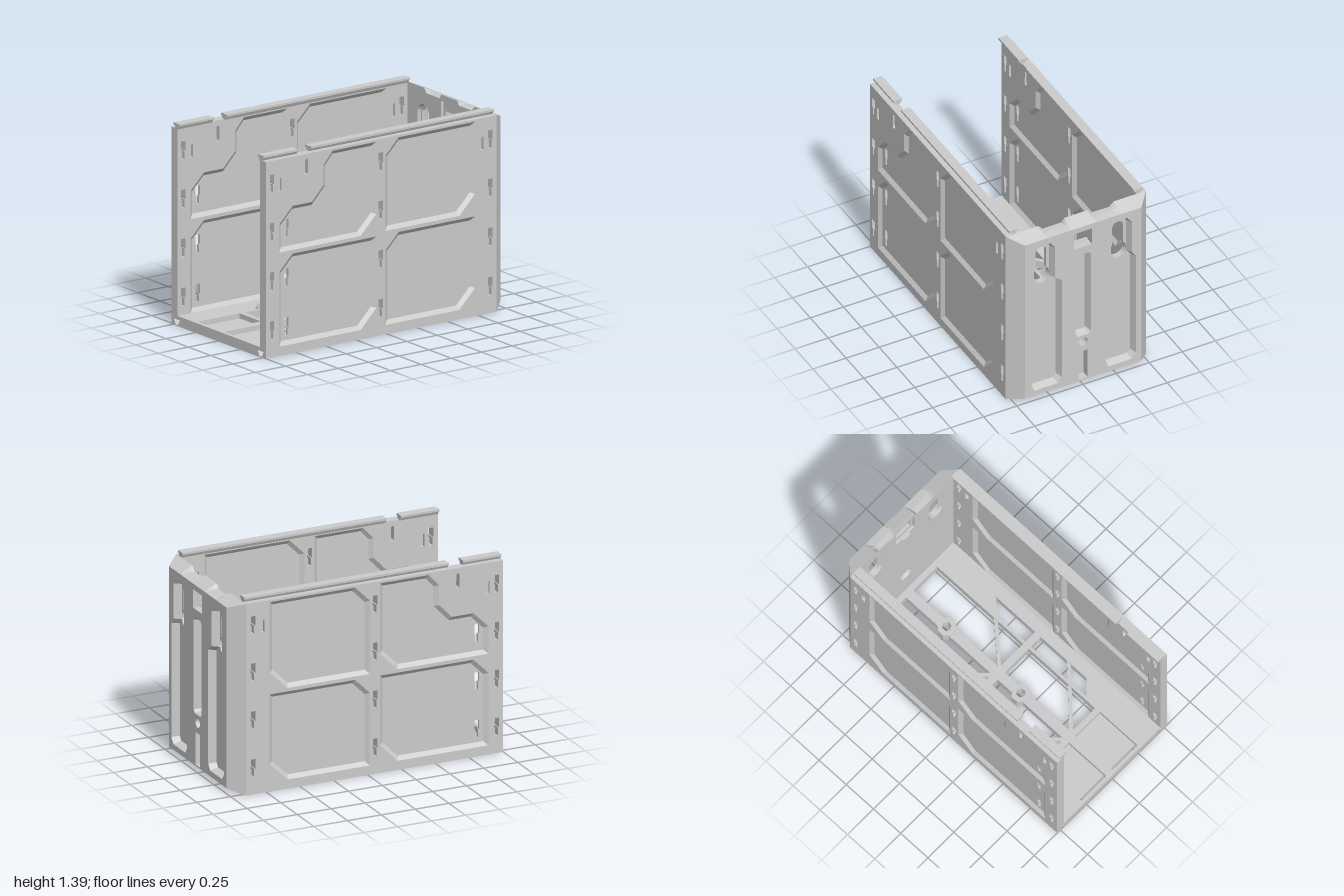
import * as THREE from 'three';

const mat = new THREE.MeshStandardMaterial({ color: 0xcccccc, flatShading: true, side: THREE.DoubleSide });
const rect = (x0, x1, y0, y1) => [[x0, y0], [x1, y0], [x1, y1], [x0, y1]];
const mirror = pts => pts.map(([x, y]) => [-x, y]).reverse();
const ngon = (n, r, cx, cy, a0 = 0) => Array.from({ length: n }, (_, i) => {
  const a = a0 + i / n * Math.PI * 2;
  return [cx + r * Math.cos(a), cy + r * Math.sin(a)];
});

// flat plate with holes, from depth w0 to w1
function plate(outline, holes, w0, w1) {
  const v = pts => pts.map(([x, y]) => new THREE.Vector2(x, y));
  const s = new THREE.Shape(v(outline));
  s.holes = holes.map(h => new THREE.Path(v(h)));
  return new THREE.ExtrudeGeometry(s, { depth: w1 - w0, bevelEnabled: false }).translate(0, 0, w0);
}

// sloped band joining two outlines at different depths
function band(a, b, wa, wb) {
  const p = [];
  a.forEach((_, i) => {
    const j = (i + 1) % a.length;
    const A = [...a[i], wa], B = [...a[j], wa], C = [...b[j], wb], D = [...b[i], wb];
    p.push(...A, ...B, ...C, ...A, ...C, ...D);
  });
  const g = new THREE.BufferGeometry();
  g.setAttribute('position', new THREE.Float32BufferAttribute(p, 3));
  g.computeVertexNormals();
  return g;
}

// counter-clockwise outline moved inwards by d
function inset(pts, d) {
  const n = pts.length;
  return pts.map((p, i) => {
    const dir = (a, b) => new THREE.Vector2(b[0] - a[0], b[1] - a[1]).normalize();
    const e = dir(pts[(i + n - 1) % n], p), f = dir(p, pts[(i + 1) % n]);
    const k = d / (1 + e.dot(f));
    return [p[0] - (e.y + f.y) * k, p[1] + (e.x + f.x) * k];
  });
}

// keyhole outline: slot of half-width r above a round hole
function keyhole(cx, r) {
  const R = 0.065, a0 = Math.acos(r / R), pts = [];
  for (let i = 0; i <= 10; i++) {
    const a = Math.PI * i / 10;
    pts.push([cx + r * Math.cos(a), 1.18 + r * Math.sin(a)]);
  }
  for (let i = 0; i <= 14; i++) {
    const a = Math.PI - a0 + (Math.PI + 2 * a0) * i / 14;
    pts.push([cx + R * Math.cos(a), 0.985 + R * Math.sin(a)]);
  }
  return pts;
}

export function createModel() {
  const model = new THREE.Group();
  const add = (name, geo, parent = model) => {
    const m = new THREE.Mesh(geo, mat);
    m.name = name;
    parent.add(m);
    return m;
  };

  // side walls: thin core between two outer skins with bevelled panel recesses
  const panel = (z0, z1, y0, y1) => [[z1 + 0.13, y0], [z0, y0], [z0, y1 - 0.11],
    [z0 - 0.11, y1], [z1, y1], [z1, y0 + 0.13]];
  const panels = [
    panel(0.89, 0.09, 0.065, 0.69), panel(0.015, -0.725, 0.065, 0.69), panel(0.015, -0.725, 0.715, 1.345),
    [[0.22, 0.715], [0.89, 0.715], [0.89, 0.91], [0.78, 1.02], [0.62, 1.02], [0.525, 1.12],
      [0.525, 1.26], [0.45, 1.345], [0.09, 1.345], [0.09, 0.845]]
  ];
  const tee = (z, top) => [[z - 0.01, top - 0.125], [z + 0.01, top - 0.125], [z + 0.01, top - 0.07],
    [z + 0.018, top - 0.07], [z + 0.018, top], [z - 0.018, top], [z - 0.018, top - 0.07], [z - 0.01, top - 0.07]];
  const slots = [], panelSlots = [];
  [1.265, 0.93, 0.59, 0.25].forEach((y, i) => {
    [0.95, 0.0525, -0.85].forEach(z => slots.push(tee(z, y)));
    if (i) panelSlots.push(tee(0.815, y));
  });
  slots.push([...ngon(12, 0.013, 0.665, 0).map(([z, y]) => [z, y + (y > 0.0001 ? 1.31 : 1.225)])]);
  const pockets = [0.885, -0.78].map(z => rect(z - 0.015, z + 0.015, 1.14, 1.23));
  const wallOutline = rect(-0.9, 1, 0.05, 1.36);
  const H = 0.0325, C = 0.0105;

  for (const s of [1, -1]) {
    const side = s > 0 ? 'left' : 'right';
    const wall = new THREE.Group();
    wall.name = side + 'Wall';
    wall.position.x = s * 0.4975;
    model.add(wall);
    const turn = g => g.rotateY(-Math.PI / 2);
    add('wallCore', turn(plate(wallOutline, [...slots, ...panelSlots], -C, C)), wall);
    for (const k of [1, -1]) {
      const lo = k > 0 ? C : -H, hi = k > 0 ? H : -C;
      add('wallSkin', turn(plate(wallOutline, [...slots, ...pockets, ...panels], lo, hi)), wall);
      panels.forEach(p => add('panelBevel', turn(band(p, inset(p, 0.028), k * H, k * C)), wall));
    }

    // dovetail rail on top, with a gap near the front
    const tail = [[-0.012, 1.355], [0.012, 1.355], [0.022, 1.375], [0.0325, 1.38],
      [0.0325, 1.395], [-0.0325, 1.395], [-0.0325, 1.38], [-0.022, 1.375]];
    for (const [z0, z1] of [[-0.9, 0.61], [0.715, 1]])
      add(side + 'Rail', plate(tail, [], z0, z1).translate(s * 0.4725, 0, 0));

    // bottom sill with the matching dovetail groove
    const sill = [[0.42, 0], [0.458, 0], [0.436, 0.04], [0.504, 0.04], [0.482, 0], [0.53, 0],
      [0.53, 0.05], [0.465, 0.05], [0.465, 0.065], [0.42, 0.065]];
    add(side + 'Sill', plate(s > 0 ? sill : mirror(sill), [], -0.9, 1));
  }

  // floor, drawn as (x, z) and laid flat
  const lay = (pts, holes, y0, y1) => {
    const f = p => p.map(([x, z]) => [x, -z]);
    return plate(f(pts), holes.map(f), y0, y1).rotateX(-Math.PI / 2);
  };
  const half = [
    rect(0.035, 0.265, -0.86, -0.07), rect(0.035, 0.265, -0.02, 0.59), rect(0.03, 0.27, 0.63, 0.975),
    [[0.285, -0.34], [0.38, -0.44], [0.38, -0.07], [0.285, -0.07]],
    [[0.285, -0.02], [0.38, -0.02], [0.38, 0.4], [0.285, 0.49]]
  ];
  const bossZ = [-0.52, 0.16];
  const bores = bossZ.map(z => ngon(6, 0.034, 0, z, Math.PI / 2));
  add('floor', lay(rect(-0.42, 0.42, -0.9, 1), [...half, ...half.map(mirror), ...bores], 0, 0.065));
  bossZ.forEach((z, i) => add('screwBoss', lay(ngon(8, 0.068, 0, z, Math.PI / 8), [bores[i]], 0, 0.075)));
  for (const s of [1, -1]) {
    add('floorTray', lay(rect(s * 0.15 - 0.12, s * 0.15 + 0.12, 0.63, 0.95), [], 0, 0.03));
    for (const [z0, z1] of [[-0.49, -0.07], [0.2, 0.59]]) {
      const dx = -0.385, dz = z1 - z0;
      const bar = add('diagonalBrace', new THREE.BoxGeometry(Math.hypot(dx, dz), 0.055, 0.025));
      bar.position.set(s * 0.2275, 0.0325, (z0 + z1) / 2);
      bar.rotation.y = -Math.atan2(dz, s * dx);
    }
  }

  // back wall in three layers; top and bottom edges slope in towards the rear
  const slope = g => {
    const p = g.attributes.position;
    for (let i = 0; i < p.count; i++) {
      const d = 0.4 * Math.max(0, -p.getZ(i) - 0.9);
      p.setY(i, THREE.MathUtils.clamp(p.getY(i), d, 1.36 - d));
    }
    g.computeVertexNormals();
    return g;
  };
  const topEdge = [[0.44, 1.36], [0.285, 1.36], [0.25, 1.328], [0.11, 1.328], [0.09, 1.358]];
  const backOutline = [[-0.44, 0], [0.44, 0], ...topEdge, ...mirror(topEdge)];
  const both = f => [f(0.29), f(-0.29)];
  const screwWide = ngon(24, 0.06, 0, 0.355), screwHole = ngon(24, 0.029, 0, 0.355);
  const windowHole = rect(-0.068, 0.068, 1.155, 1.245);
  add('backInner', slope(plate(backOutline,
    [...both(x => keyhole(x, 0.065)), screwWide, rect(-0.09, 0.09, 1.115, 1.315)], -0.92, -0.9)));
  add('backMiddle', slope(plate(backOutline,
    [...both(x => keyhole(x, 0.04)), screwHole, windowHole], -0.945, -0.92)));
  both(x => add('keyholeBevel', band(keyhole(x, 0.065), keyhole(x, 0.04), -0.9, -0.935)));
  add('screwCountersink', band(screwWide, screwHole, -0.9, -0.935));
  add('windowLip', new THREE.BoxGeometry(0.07, 0.012, 0.02)).position.set(0, 1.105, -0.895);

  // rear skin with wide channels, a centre groove and a foot notch
  const channel = [[0.19, 0.08], [0.37, 0.08], [0.4, 0.12], [0.4, 0.93], [0.37, 0.97], [0.37, 1.22],
    [0.335, 1.27], [0.245, 1.27], [0.21, 1.22], [0.21, 0.97], [0.16, 0.93], [0.16, 0.12]];
  const groove = [[-0.04, 0.41], [0.04, 0.41], [0.06, 0.43], [0.06, 1.07], [0.04, 1.09],
    [-0.04, 1.09], [-0.06, 1.07], [-0.06, 0.43]];
  const recesses = [channel, mirror(channel), groove];
  const through = [ngon(20, 0.035, 0, 0.355), rect(-0.035, 0.035, 0.05, 0.28), rect(-0.068, 0.068, 1.15, 1.28)];
  add('backSkin', slope(plate(backOutline, [...recesses, ...through], -1, -0.945)));
  recesses.forEach(r => add('recessBevel', band(r, inset(r, 0.018), -1, -0.946)));

  // chamfered rear corner posts
  for (const s of [1, -1]) {
    const post = [[0.44, -0.9], [0.53, -0.9], [0.44, -1]];
    add('rearCorner', slope(lay(s > 0 ? post : mirror(post), [], 0, 1.36)));
  }
  return model;
}
